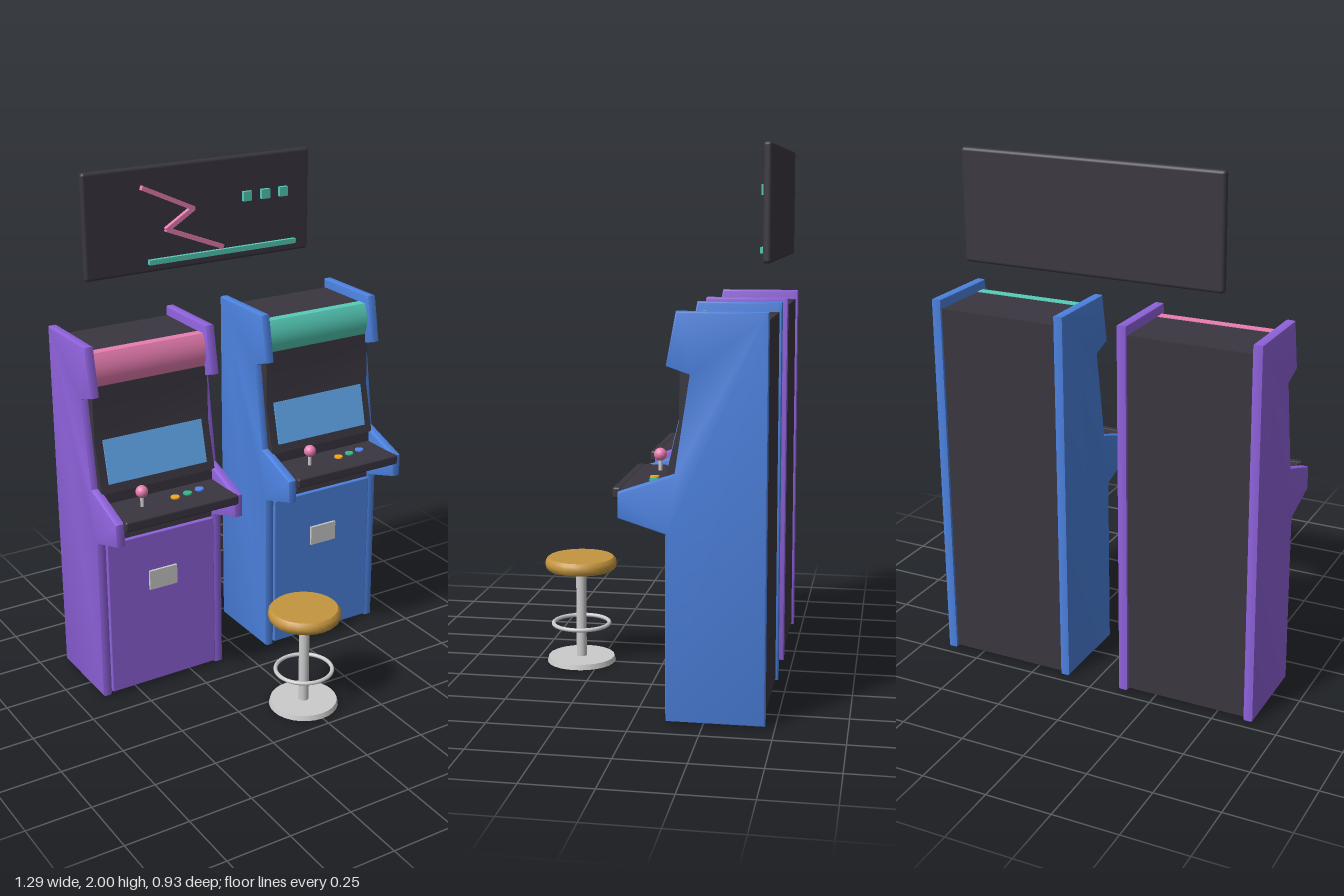
import * as THREE from 'three';
import { toCreasedNormals } from 'three/addons/utils/BufferGeometryUtils.js';
import { RoundedBoxGeometry } from 'three/addons/geometries/RoundedBoxGeometry.js';

const mat = (color) => new THREE.MeshStandardMaterial({ color });
const M = {
  dark: mat(0x3a3640), purple: mat(0x8f62dc), blue: mat(0x4c82e0), pink: mat(0xe87db0),
  teal: mat(0x55ccb8), gold: mat(0xc4953f), screen: mat(0x62aaf0), grey: mat(0xcccccc),
  orange: mat(0xf5a623), green: mat(0x35b88a), azure: mat(0x5088f8),
};

function add(parent, name, geometry, material, x = 0, y = 0, z = 0) {
  const mesh = new THREE.Mesh(geometry, material);
  mesh.name = name;
  mesh.position.set(x, y, z);
  parent.add(mesh);
  return mesh;
}

const outline = (pts) => new THREE.Shape(pts.map(([z, y]) => new THREE.Vector2(z, y)));

// Extrudes a (z, y) outline across x, centred on x = 0
function slab(shape, width, bevel = 0) {
  const g = new THREE.ExtrudeGeometry(shape, {
    depth: width - 2 * bevel, bevelEnabled: bevel > 0, bevelThickness: bevel,
    bevelSize: bevel, bevelOffset: -bevel, bevelSegments: 2, curveSegments: 14,
  });
  g.translate(0, 0, -(width - 2 * bevel) / 2);
  g.rotateY(-Math.PI / 2);
  return toCreasedNormals(g, 0.55);
}

const SIDE = outline([
  [-0.466, 0.005], [-0.117, 0.005], [-0.117, 0.67], [0.05, 0.722], [0.05, 0.812],
  [-0.148, 0.88], [-0.2, 1.222], [-0.118, 1.25], [-0.152, 1.436], [-0.466, 1.436],
]);
const BODY = outline([
  [-0.456, 0.012], [-0.125, 0.012], [-0.125, 0.87], [-0.2, 1.06], [-0.2, 1.27],
  [-0.172, 1.4], [-0.456, 1.4],
]);
const BEZEL = outline([
  [-0.22, 0.865], [-0.114, 0.865], [-0.16, 1.06], [-0.163, 1.275], [-0.22, 1.275],
]);
const DECK = outline([
  [-0.14, 0.822], [0.05, 0.822], [0.05, 0.785], [-0.12, 0.735], [-0.14, 0.735],
]);

function cabinet(name, bodyMat, marqueeMat) {
  const g = new THREE.Group();
  g.name = name;
  const inner = 0.47;

  add(g, 'body', slab(BODY, inner), M.dark);
  for (const s of [-1, 1])
    add(g, s > 0 ? 'leftSidePanel' : 'rightSidePanel', slab(SIDE, 0.038, 0.007), bodyMat, s * 0.252);

  // Rounded lit header
  const header = new THREE.Shape();
  header.moveTo(-0.21, 1.27);
  header.lineTo(-0.168, 1.27);
  header.quadraticCurveTo(-0.135, 1.335, -0.172, 1.402);
  header.lineTo(-0.21, 1.402);
  add(g, 'marquee', slab(header, inner), marqueeMat);

  // Tilted display
  add(g, 'screenBezel', slab(BEZEL, 0.485), M.dark);
  const screen = add(g, 'screen', new THREE.BoxGeometry(0.42, 0.17, 0.008), M.screen, 0, 0.982, -0.14);
  screen.rotation.x = -Math.atan2(0.046, 0.195);

  // Control deck with its front lip
  add(g, 'controlDeck', slab(DECK, inner), M.dark);
  add(g, 'deckLip', new RoundedBoxGeometry(0.48, 0.04, 0.03, 2, 0.008), M.dark, 0, 0.804, 0.058);
  add(g, 'deckBackstop', new THREE.BoxGeometry(inner, 0.05, 0.02), M.dark, 0, 0.842, -0.13);

  add(g, 'joystickShaft', new THREE.CylinderGeometry(0.007, 0.007, 0.06, 12), M.grey, -0.117, 0.85, -0.035);
  add(g, 'joystickBall', new THREE.SphereGeometry(0.024, 20, 14), M.pink, -0.117, 0.882, -0.035);
  [[0.025, -0.038, M.orange], [0.083, -0.046, M.green], [0.14, -0.056, M.azure]].forEach(([x, z, m], i) =>
    add(g, 'button' + (i + 1), new THREE.CylinderGeometry(0.017, 0.018, 0.01, 20), m, x, 0.823, z));

  // Lower front
  add(g, 'frontPanel', new RoundedBoxGeometry(0.466, 0.645, 0.02, 2, 0.005), bodyMat, 0, 0.338, -0.12);
  add(g, 'coinPlate', new THREE.BoxGeometry(0.12, 0.08, 0.012), M.grey, 0, 0.465, -0.106);
  return g;
}

function stool() {
  const g = new THREE.Group();
  g.name = 'stool';
  const seat = [[0, 0.372], [0.13, 0.372], [0.138, 0.38], [0.14, 0.395], [0.138, 0.41], [0.128, 0.42], [0, 0.42]];
  const lathe = new THREE.LatheGeometry(seat.map(([x, y]) => new THREE.Vector2(x, y)), 24);
  add(g, 'seat', toCreasedNormals(lathe, 0.7), M.gold);
  add(g, 'post', new THREE.CylinderGeometry(0.02, 0.02, 0.36, 20), M.grey, 0, 0.195, 0);
  add(g, 'footRing', new THREE.TorusGeometry(0.11, 0.008, 10, 36).rotateX(Math.PI / 2), M.grey, 0, 0.152, 0);
  add(g, 'base', new THREE.CylinderGeometry(0.13, 0.135, 0.02, 28), M.grey, 0, 0.01, 0);
  return g;
}

function wallSign() {
  const g = new THREE.Group();
  g.name = 'wallSign';
  add(g, 'signBoard', new RoundedBoxGeometry(0.998, 0.41, 0.03, 2, 0.012), M.dark, 0, 1.795, -0.442);

  // Zigzag light made of straight bars
  const zig = [[-0.257, 1.923], [-0.04, 1.822], [-0.156, 1.752], [0.087, 1.655]];
  for (let i = 0; i < 3; i++) {
    const [x0, y0] = zig[i], [x1, y1] = zig[i + 1];
    const length = Math.hypot(x1 - x0, y1 - y0) + 0.008;
    const bar = add(g, 'zigzagBar' + (i + 1), new THREE.BoxGeometry(length, 0.018, 0.02), M.pink,
      (x0 + x1) / 2, (y0 + y1) / 2, -0.418);
    bar.rotation.z = Math.atan2(y1 - y0, x1 - x0);
  }
  add(g, 'underlineBar', new THREE.BoxGeometry(0.665, 0.02, 0.018), M.teal, 0.098, 1.633, -0.42);
  for (let i = 0; i < 3; i++)
    add(g, 'lightBlock' + (i + 1), new THREE.BoxGeometry(0.038, 0.038, 0.018), M.teal, 0.205 + i * 0.084, 1.84, -0.42);
  return g;
}

export function createModel() {
  const model = new THREE.Group();
  model.name = 'arcadeCorner';
  const right = cabinet('rightCabinet', M.purple, M.pink);
  const left = cabinet('leftCabinet', M.blue, M.teal);
  right.position.x = -0.376;
  left.position.x = 0.376;
  const seat = stool();
  seat.position.z = 0.326;
  model.add(right, left, seat, wallSign());
  return model;
}
